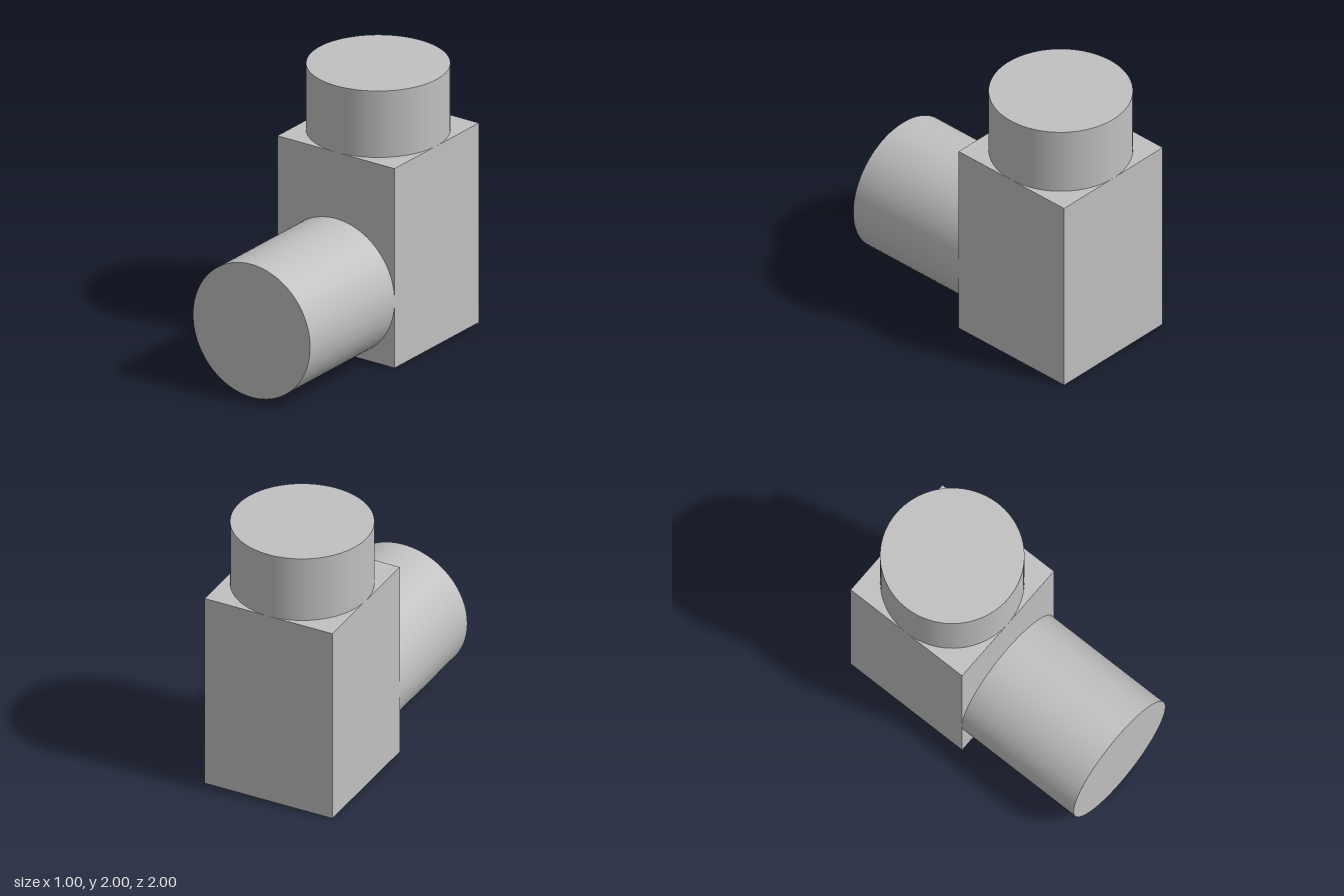
import * as THREE from 'three';

export function createModel() {
  const model = new THREE.Group();
  model.name = 'elbowBlock';
  const grey = new THREE.MeshStandardMaterial({ color: 0xc0c0c0 });
  grey.name = 'light grey';

  const add = (name, geometry, x, y, z) => {
    const mesh = new THREE.Mesh(geometry, grey);
    mesh.name = name;
    mesh.position.set(x, y, z);
    model.add(mesh);
    return mesh;
  };

  // Upright rectangular body at the rear
  add('body', new THREE.BoxGeometry(1, 1.5, 1), 0, 0.75, -0.5);

  // Short round neck on top of the body
  add('topCylinder', new THREE.CylinderGeometry(0.5, 0.5, 0.5, 96), 0, 1.75, -0.5);

  // Round boss reaching forward from the lower front
  const boss = add('frontCylinder', new THREE.CylinderGeometry(0.5, 0.5, 1, 96), 0, 0.5, 0.5);
  boss.rotation.x = Math.PI / 2;

  return model;
}
